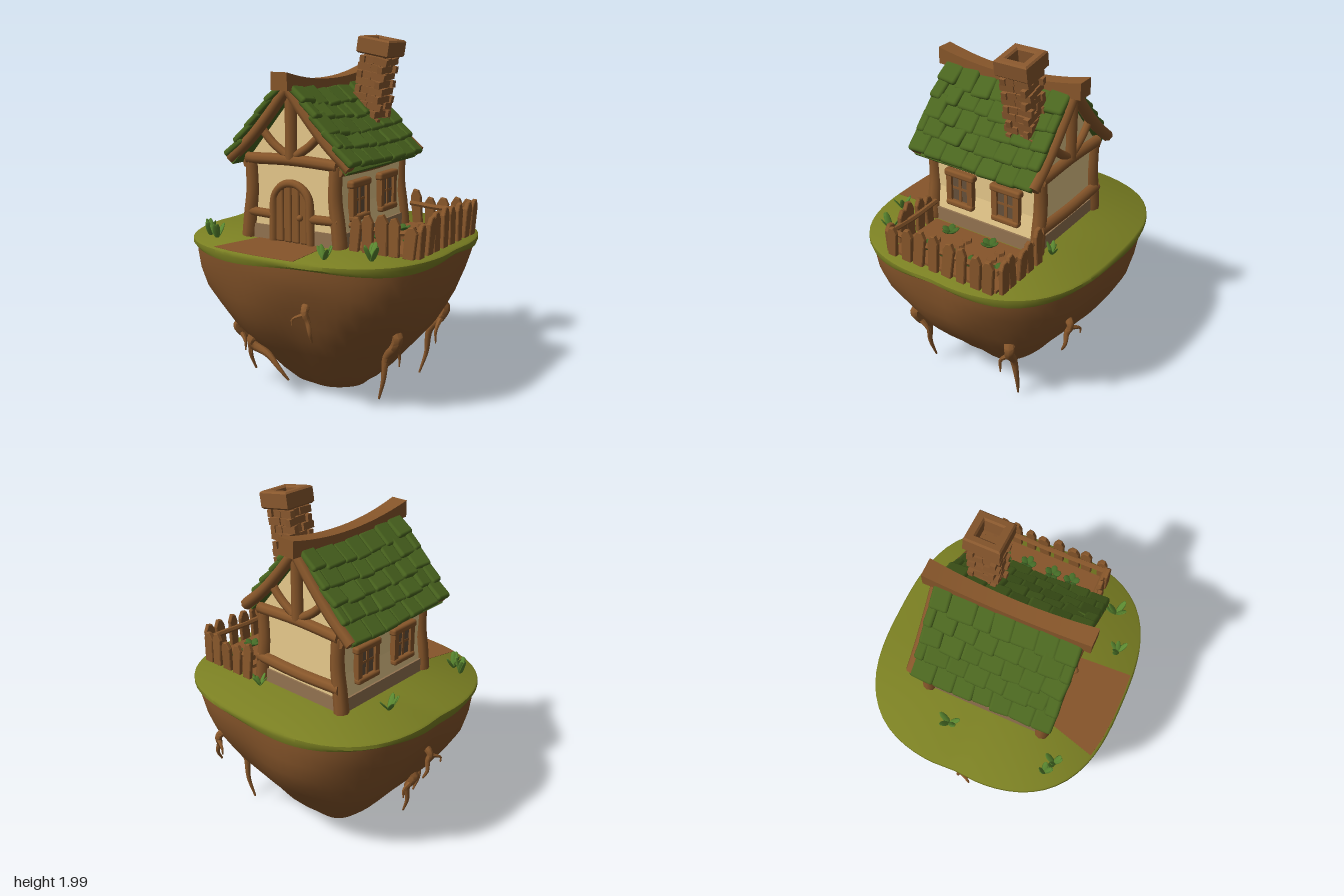
import * as THREE from 'three';
import { toCreasedNormals, mergeGeometries } from 'three/addons/utils/BufferGeometryUtils.js';
import { RoundedBoxGeometry } from 'three/addons/geometries/RoundedBoxGeometry.js';

const paint = (name, color, side = THREE.FrontSide) => {
  const m = new THREE.MeshStandardMaterial({ color, side });
  m.name = name;
  return m;
};
const V = (x, y, z) => new THREE.Vector3(x, y, z);
const points2 = list => list.map(q => new THREE.Vector2(...q));

export function createModel() {
  const model = new THREE.Group();
  model.name = 'floatingCottage';
  const earth = paint('earth', 0x86552a), grass = paint('grass', 0x7a7f22), wood = paint('wood', 0x87562a);
  const roofGreen = paint('roofGreen', 0x4a651f), plaster = paint('plaster', 0xe8ca8c), footing = paint('footing', 0x937350);
  const brick = paint('brick', 0x88572d), glass = paint('windowDark', 0x66503a);
  const blade = paint('grassBlade', 0x5a8830, THREE.DoubleSide), leaf = paint('plantLeaf', 0x436a26, THREE.DoubleSide);

  let seed = 7;
  const rnd = (a = -1, b = 1) => {
    seed = (seed * 16807) % 2147483647;
    return a + (b - a) * seed / 2147483647;
  };
  const add = (name, geo, mat, parent = model) => {
    const m = new THREE.Mesh(geo, mat);
    m.name = name;
    parent.add(m);
    return m;
  };
  const group = (name, parent = model) => {
    const g = new THREE.Group();
    g.name = name;
    parent.add(g);
    return g;
  };
  const box = (w, h, d, x, y, z) => new THREE.BoxGeometry(w, h, d).translate(x, y, z);

  // Closed, tapered log following a curve
  const limb = (pts, r0, r1 = r0, sides = 8, n = 14) => {
    const curve = new THREE.CatmullRomCurve3(pts);
    const geo = new THREE.TubeGeometry(curve, n, 1, sides);
    const p = geo.attributes.position, v = V();
    for (let i = 0; i <= n; i++) {
      const t = THREE.MathUtils.clamp((i - 1) / (n - 2), 0, 1);
      const from = curve.getPointAt(i / n), to = curve.getPointAt(t);
      const r = i === 0 || i === n ? 0 : r0 + (r1 - r0) * t;
      for (let j = 0; j <= sides; j++) {
        const k = i * (sides + 1) + j;
        v.fromBufferAttribute(p, k).sub(from).multiplyScalar(r).add(to);
        p.setXYZ(k, v.x, v.y, v.z);
      }
    }
    return toCreasedNormals(geo, 0.9);
  };

  // Island: lathe squared off into a superellipse with a slight waist
  const rim = a => (Math.abs(Math.sin(a)) ** 2.8 + Math.abs(Math.cos(a)) ** 2.8) ** (-1 / 2.8)
    * (1 - 0.015 * Math.exp(-((Math.cos(a) / 0.14) ** 2)));
  const bump = (a, y) => 1 + 0.022 * (Math.sin(3 * a + 5 * y + 1) + 0.7 * Math.sin(7 * a - 6 * y)) * Math.min(1, Math.max(0, (0.84 - y) * 4));
  const island = profile => {
    const geo = new THREE.LatheGeometry(points2(profile), 72);
    const p = geo.attributes.position;
    for (let i = 0; i < p.count; i++) {
      const x = p.getX(i), y = p.getY(i), z = p.getZ(i), a = Math.atan2(x, z), k = rim(a) * bump(a, y);
      const lip = y > 0.82 && y < 0.86 ? 0.012 * Math.sin(5 * a) : 0;
      p.setXYZ(i, x * k * 0.76, y + lip, z * k * 0.71);
    }
    return toCreasedNormals(geo, 0.8);
  };
  const rock = [[0, 0.03], [0.3, 0.03], [0.41, 0.11], [0.51, 0.2], [0.63, 0.3], [0.74, 0.4], [0.82, 0.5], [0.89, 0.6], [0.935, 0.7], [0.965, 0.8], [0.97, 0.87]];
  add('islandRock', island(rock), earth);
  add('islandGrass', island([[0.95, 0.85], [0.985, 0.84], [1, 0.862], [0.998, 0.882], [0.985, 0.89], [0, 0.89]]), grass);

  // Dirt path to the door
  const path = new THREE.Shape(points2([[-0.27, -0.34], [0.15, -0.34], [0.17, -0.692], [0.05, -0.697], [-0.1, -0.697], [-0.24, -0.686], [-0.36, -0.663]]));
  add('path', new THREE.ExtrudeGeometry(path, { depth: 0.004, bevelEnabled: false }).rotateX(-Math.PI / 2).translate(0, 0.888, 0), earth);

  // Hanging roots, each with one small fork: x, z, top, bottom, radius, sideways drift
  const onRock = (a, y, k) => {
    const i = Math.max(2, rock.findIndex(q => q[1] >= y)), [r0, y0] = rock[i - 1], [r1, y1] = rock[i];
    const r = (r0 + (r1 - r0) * (y - y0) / (y1 - y0)) * rim(a) * bump(a, y) * k;
    return V(Math.sin(a) * r * 0.76, y, Math.cos(a) * r * 0.71);
  };
  const roots = group('roots');
  [[0.46, 0.25, 0.44, 0.05, 0.034, -0.06], [0.46, -0.33, 0.44, 0, 0.034, 0.1], [-0.4, 0.4, 0.37, 0.08, 0.03, -0.06],
    [-0.27, 0.46, 0.32, 0.11, 0.034, 0.4], [-0.55, 0.08, 0.38, 0.08, 0.03, 0.08], [0.18, 0.6, 0.63, 0.45, 0.026, 0.05],
    [0.28, -0.55, 0.6, 0.42, 0.026, -0.05], [-0.7, 0, 0.64, 0.47, 0.024, -0.04]].forEach(([x, z, y0, y1, r, drift]) => {
    const a = Math.atan2(x, z), h = y0 - y1, s = Math.sign(drift);
    const knee = onRock(a, y0 - h * 0.15, 1.06), mid = onRock(a + drift * 0.4, y0 - h * 0.35, 1.08);
    const low = onRock(a + drift * 0.8, y0 - h * 0.4, 1.1).setY(y0 - h * 0.7), tip = onRock(a + drift, y0 - h * 0.45, 1.07).setY(y1);
    add('root', limb([onRock(a, y0 + 0.02, 0.95), onRock(a, y0, 1.02), knee, mid, low, tip], r, 0.006, 7, 18), wood, roots);
    const side = onRock(a - s * 0.09, y0 - h * 0.32, 1.12);
    add('rootFork', limb([knee, side, side.clone().setY(y0 - h * 0.5)], r * 0.55, 0.004, 6, 10), wood, roots);
  });

  // House, with its own x = 0 on the ridge line
  const house = group('house');
  house.position.x = -0.053;
  const zF = 0.36, zB = -0.34;
  const wall = new THREE.Shape(points2([[-0.3, 0.96], [0.3, 0.96], [0.28, 1.1], [0.285, 1.34], [0, 1.68], [-0.285, 1.34], [-0.28, 1.1]]));
  add('walls', new THREE.ExtrudeGeometry(wall, { depth: zF - zB, bevelEnabled: false }).translate(0, 0, zB), plaster, house);
  add('footing', box(0.62, 0.1, 0.72, 0, 0.92, 0.01), footing, house);

  for (const z of [zF, zB]) {
    const o = z > 0 ? 1 : -1, face = z + o * 0.012, eave = z + (o > 0 ? 0.042 : -0.025);
    const frame = group(o > 0 ? 'frontFrame' : 'backFrame', house);
    add('crossBeam', limb([V(-0.29, 1.335, face), V(0, 1.345, face), V(0.29, 1.335, face)], 0.032), wood, frame);
    add('kingPost', limb([V(0, 1.35, face), V(0, 1.7, face)], 0.034), wood, frame);
    for (const s of [-1, 1]) {
      add('cornerPost', limb([V(s * 0.298, 0.895, z), V(s * 0.285, 1.02, z), V(s * 0.268, 1.15, z), V(s * 0.272, 1.33, z)], 0.042, 0.036), wood, frame);
      add('brace', limb([V(s * 0.03, 1.37, face), V(s * 0.12, 1.43, face), V(s * 0.2, 1.51, face)], 0.024), wood, frame);
      add('rafter', limb([V(0, 1.73, eave), V(s * 0.12, 1.585, eave), V(s * 0.25, 1.445, eave), V(s * 0.385, 1.33, eave)], 0.032, 0.034), wood, frame);
      if (o > 0) add('shortRail', limb([V(s * 0.3, 1.04, face), V(s * 0.12, 1.035, face)], 0.026), wood, frame);
    }
    if (o < 0) add('backRail', limb([V(-0.3, 1.04, face), V(0, 1.03, face), V(0.3, 1.04, face)], 0.034), wood, frame);
  }

  // Arched door
  const door = group('door', house);
  for (let i = 0; i < 4; i++) {
    const x = -0.078 + i * 0.052, top = 1.1 + Math.sqrt(0.0144 - x * x);
    add('doorPlank', new RoundedBoxGeometry(0.05, top - 0.89, 0.03, 2, 0.012).translate(x, (top + 0.89) / 2, zF + 0.008), wood, door);
  }
  const arch = [V(-0.122, 0.89, 0.375), V(-0.12, 1, 0.375)];
  for (let i = 0; i <= 8; i++) arch.push(V(-Math.cos(i * Math.PI / 8) * 0.118, 1.1 + Math.sin(i * Math.PI / 8) * 0.118, 0.375));
  arch.push(V(0.12, 1, 0.375), V(0.122, 0.89, 0.375));
  add('doorFrame', limb(arch, 0.023, 0.023, 8, 40), wood, door);
  add('doorKnob', new THREE.SphereGeometry(0.018, 10, 8).translate(0.07, 1.04, 0.4), wood, door);

  // Side beams and windows
  for (const s of [-1, 1]) {
    add('eaveBeam', limb([V(s * 0.295, 1.305, 0.375), V(s * 0.295, 1.295, 0), V(s * 0.295, 1.305, -0.36)], 0.028), wood, house);
    for (const z of [0.165, -0.14]) {
      const win = group('window', house), x = s * 0.292;
      add('pane', box(0.03, 0.16, 0.14, x - s * 0.008, 1.12, z), glass, win);
      add('lintel', new RoundedBoxGeometry(0.06, 0.042, 0.2, 2, 0.014).translate(x, 1.22, z), wood, win);
      add('sill', new RoundedBoxGeometry(0.065, 0.036, 0.18, 2, 0.014).translate(x, 1.035, z), wood, win);
      add('muntin', box(0.02, 0.014, 0.13, x, 1.13, z), wood, win);
      for (const q of [-0.07, 0, 0.07])
        add('windowPost', box(q ? 0.046 : 0.026, 0.17, q ? 0.034 : 0.018, x, 1.125, z + q), wood, win);
    }
  }

  // Sagging roof: backing boards, uneven shingles and ridge beam
  const roof = group('roof', house), zMid = 0.035, pitch = 0.82;
  const sag = z => 0.045 * (((z - zMid) / 0.4) ** 2 - 0.75);
  const tiles = [];
  for (const s of [-1, 1]) {
    add('roofBoard', new THREE.BoxGeometry(0.52, 0.022, 0.76).rotateZ(-s * pitch).translate(s * 0.195, 1.495, zMid), roofGreen, roof);
    for (let row = 0; row < 5; row++) {
      const t = (row + 0.5) / 5, shift = row % 2 ? 0.5 : 0;
      const edges = [0];
      for (let i = 1; i < 7 + shift * 2; i++) edges.push((i - shift + rnd() * 0.14) / 7);
      edges.push(1);
      for (let i = 0; i + 1 < edges.length; i++) {
        const z = zMid - 0.4 + 0.4 * (edges[i] + edges[i + 1]), w = (edges[i + 1] - edges[i]) * 0.8 + 0.008;
        tiles.push(new RoundedBoxGeometry(0.145 + rnd() * 0.014, 0.038, w, 2, 0.017)
          .rotateX(rnd() * 0.12).rotateY(rnd() * 0.07).rotateZ(-s * (pitch - 0.13 + rnd() * 0.07))
          .translate(s * (0.04 + t * 0.345), 1.735 - t * 0.385 + sag(z) * (1 - 0.6 * t) + 0.03 * t * (z - zMid), z));
      }
    }
  }
  add('shingles', mergeGeometries(tiles), roofGreen, roof);
  const ridge = new THREE.BoxGeometry(1, 1, 0.91, 1, 1, 14), lp = ridge.attributes.position;
  for (let i = 0; i < lp.count; i++) {
    const q = (lp.getZ(i) / 0.455) ** 2;
    lp.setXY(i, lp.getX(i) * (0.085 + 0.017 * q), 1.735 + q * 0.033 + lp.getY(i) * (0.05 + 0.045 * q));
  }
  add('ridgeBeam', toCreasedNormals(ridge.translate(0, 0, 0.025), 0.6), wood, roof);

  // Leaning chimney of loose bricks with a hollow cap
  const chimney = group('chimney');
  chimney.position.set(0.1, 1.46, -0.18);
  chimney.rotation.z = -0.16;
  const bricks = [box(0.12, 0.42, 0.12, 0, 0.21, 0)];
  for (let row = 0; row < 10; row++) for (let side = 0; side < 4; side++) for (const h of [-1, 1]) {
    const off = row % 2 ? 0.014 : -0.014;
    bricks.push(new THREE.BoxGeometry(0.07 + h * off, 0.038, 0.03).rotateZ(rnd() * 0.12).rotateY(rnd() * 0.1)
      .translate(h * 0.035 + off * 0.9, 0.022 + row * 0.042, 0.06 + rnd() * 0.008).rotateY(side * Math.PI / 2));
  }
  add('chimneyBricks', mergeGeometries(bricks), brick, chimney);
  const square = (C, r) => new C(points2([[-r, -r], [r, -r], [r, r], [-r, r]]));
  const cap = square(THREE.Shape, 0.09);
  cap.holes.push(square(THREE.Path, 0.06));
  add('chimneyCap', new THREE.ExtrudeGeometry(cap, { depth: 0.076, bevelSize: 0.009, bevelThickness: 0.009, bevelSegments: 1 })
    .rotateX(-Math.PI / 2).translate(0, 0.437, -0.005), brick, chimney);

  // Garden bed with clods and leafy plants
  const garden = group('garden');
  add('soil', box(0.39, 0.02, 0.69, 0.475, 0.895, -0.025), earth, garden);
  for (const [x, z] of [[0.38, -0.3], [0.455, -0.31], [0.38, -0.19], [0.455, -0.19], [0.5, -0.07], [0.38, 0.03], [0.44, 0.035], [0.47, 0.175]])
    add('clod', toCreasedNormals(new THREE.CylinderGeometry(0.027, 0.033, 0.02, 6), 0.3).translate(x, 0.912, z), earth, garden);
  for (const [x, z] of [[0.54, -0.28], [0.56, -0.13], [0.56, 0.03], [0.56, 0.15], [0.37, 0.15], [0.36, -0.11]]) {
    const leaves = [];
    for (let i = 0; i < 5; i++) leaves.push(new THREE.SphereGeometry(1, 8, 5).scale(0.028, 0.007, 0.022).rotateZ(0.5)
      .translate(0.027, 0.025, 0).rotateY(i * 1.257 + x * 9 + z).translate(x, 0.905, z));
    add('gardenPlant', mergeGeometries(leaves), leaf, garden);
  }

  // Crooked picket fence around three sides of the bed
  const fence = group('fence');
  const run = (x0, z0, x1, z1, n) => {
    const len = Math.hypot(x1 - x0, z1 - z0);
    const side = group('fenceRun', fence);
    side.position.set(x0, 0.89, z0);
    side.rotation.y = Math.atan2(-(z1 - z0), x1 - x0);
    add('fenceRail', limb([V(0, 0.13, -0.012), V(len / 2, 0.12, -0.012), V(len, 0.13, -0.012)], 0.016, 0.016, 6), wood, side);
    for (let i = 0; i < n; i++) {
      const h = 0.19 + rnd() * 0.028, w = 0.028 + rnd() * 0.004;
      const picket = new THREE.Shape(points2([[-w * 0.9, 0], [w * 0.9, 0], [w, h * 0.82], [w * 0.3, h], [-w * 0.5, h * 0.97], [-w, h * 0.8]]));
      add('picket', new THREE.ExtrudeGeometry(picket, { depth: 0.018, bevelSize: 0.004, bevelThickness: 0.004, bevelSegments: 1 })
        .rotateZ(rnd() * 0.1).rotateX(rnd() * 0.06).translate((i + 0.5 + rnd() * 0.08) * len / n, 0, 0), wood, side);
    }
  };
  run(0.28, 0.33, 0.68, 0.33, 5);
  run(0.675, 0.34, 0.675, -0.38, 8);
  run(0.68, -0.385, 0.28, -0.385, 5);

  // Grass tufts of broad blades
  for (const [x, z, k] of [[-0.51, -0.14, 1], [-0.55, 0.46, 1], [-0.48, 0.49, 1], [0.5, 0.47, 1.1], [0.28, 0.57, 0.9], [0.2, -0.41, 0.8]]) {
    const blades = [];
    for (let i = 0; i < 5; i++) blades.push(new THREE.SphereGeometry(1, 8, 6).scale(0.017, 0.052, 0.005).translate(0, 0.048, 0)
      .rotateX(0.3 + rnd(0, 0.45)).rotateY(i * 1.257 + rnd()).scale(k, k, k).translate(x, 0.885, z));
    add('grassTuft', mergeGeometries(blades), blade);
  }
  return model;
}
